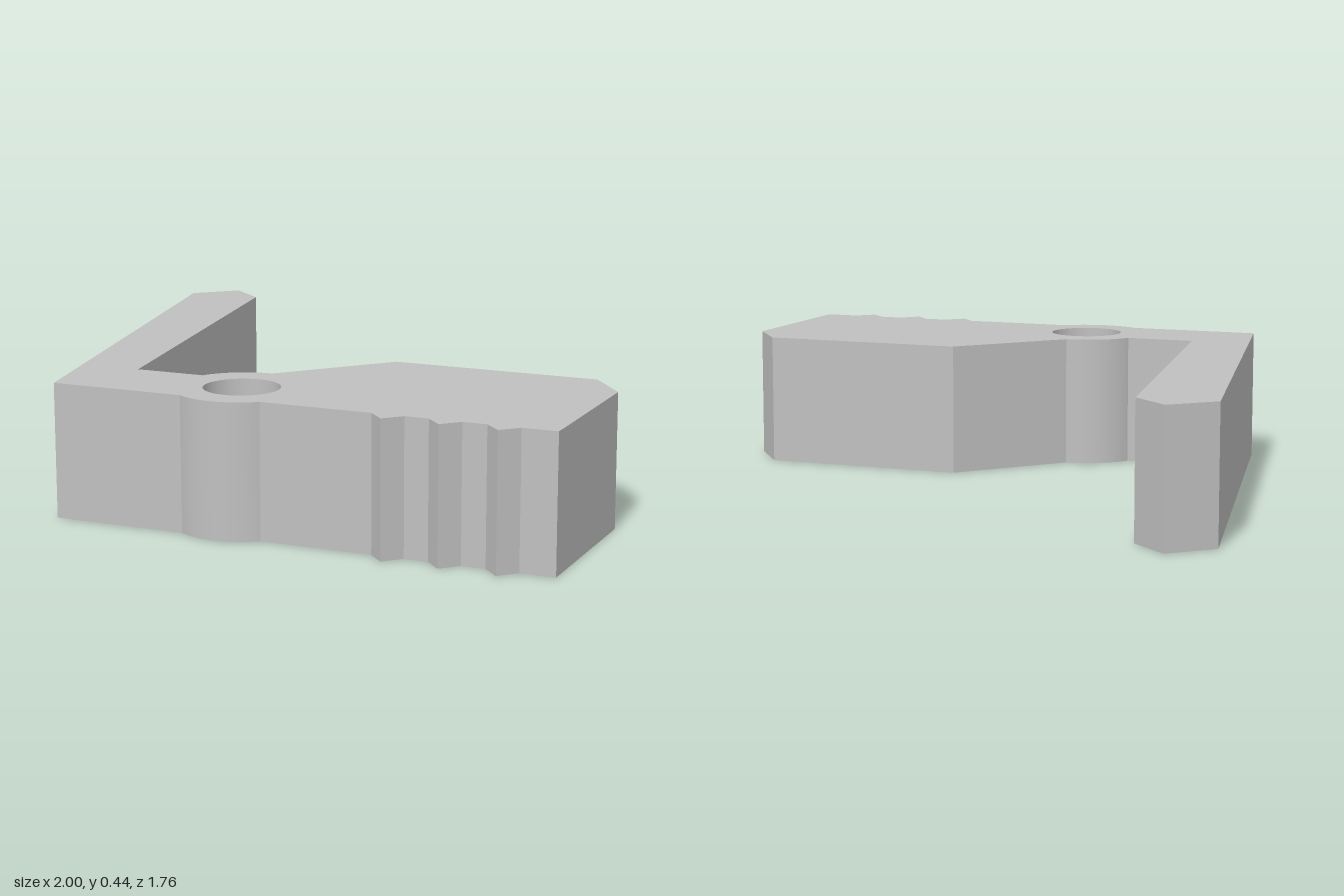
import * as THREE from 'three';
import { toCreasedNormals } from 'three/addons/utils/BufferGeometryUtils.js';

const HEIGHT = 0.44;
const PIVOT = { x: -0.1, z: 0.655, bossRadius: 0.219, holeRadius: 0.123 };

// Plan outline drawn in (x, z)
function leverOutline() {
  const s = new THREE.Shape();
  const line = (...pts) => pts.forEach(([x, z]) => s.lineTo(x, z));
  const boss = (a, b) => s.absarc(PIVOT.x, PIVOT.z, PIVOT.bossRadius, a, b, false);

  // Pointed arm and inner corner
  s.moveTo(-1, -0.757);
  line([-0.87, -0.88], [-0.745, -0.775], [-0.525, 0.55]);
  // Back of the pivot boss
  boss(-Math.PI + 0.503, -Math.PI / 2);
  // Chamfered jaw block
  line([0.195, 0.106], [0.885, 0.106], [1, 0.255], [1, 0.822]);
  // Gripping teeth
  for (const x of [0.833, 0.649, 0.465]) {
    line([x + 0.053, 0.822], [x, 0.877], [x - 0.053, 0.822]);
  }
  // Front of the pivot boss and outer corner
  boss(0.867, 2.17);
  line([-0.67, 0.837]);
  s.closePath();

  // Pivot hole
  const hole = new THREE.Path();
  hole.absarc(PIVOT.x, PIVOT.z, PIVOT.holeRadius, 0, Math.PI * 2, true);
  s.holes.push(hole);
  return s;
}

export function createModel() {
  const grey = new THREE.MeshStandardMaterial({ color: 0xc0c0c0 });
  grey.name = 'grey';

  // Extrude the outline, then lay it flat
  const extruded = new THREE.ExtrudeGeometry(leverOutline(), {
    depth: HEIGHT, bevelEnabled: false, curveSegments: 32,
  });
  extruded.rotateX(Math.PI / 2).translate(0, HEIGHT, 0);
  extruded.clearGroups();

  const lever = new THREE.Mesh(toCreasedNormals(extruded, 0.25), grey);
  lever.name = 'toothedLever';

  const model = new THREE.Group();
  model.name = 'lever';
  model.add(lever);
  return model;
}
